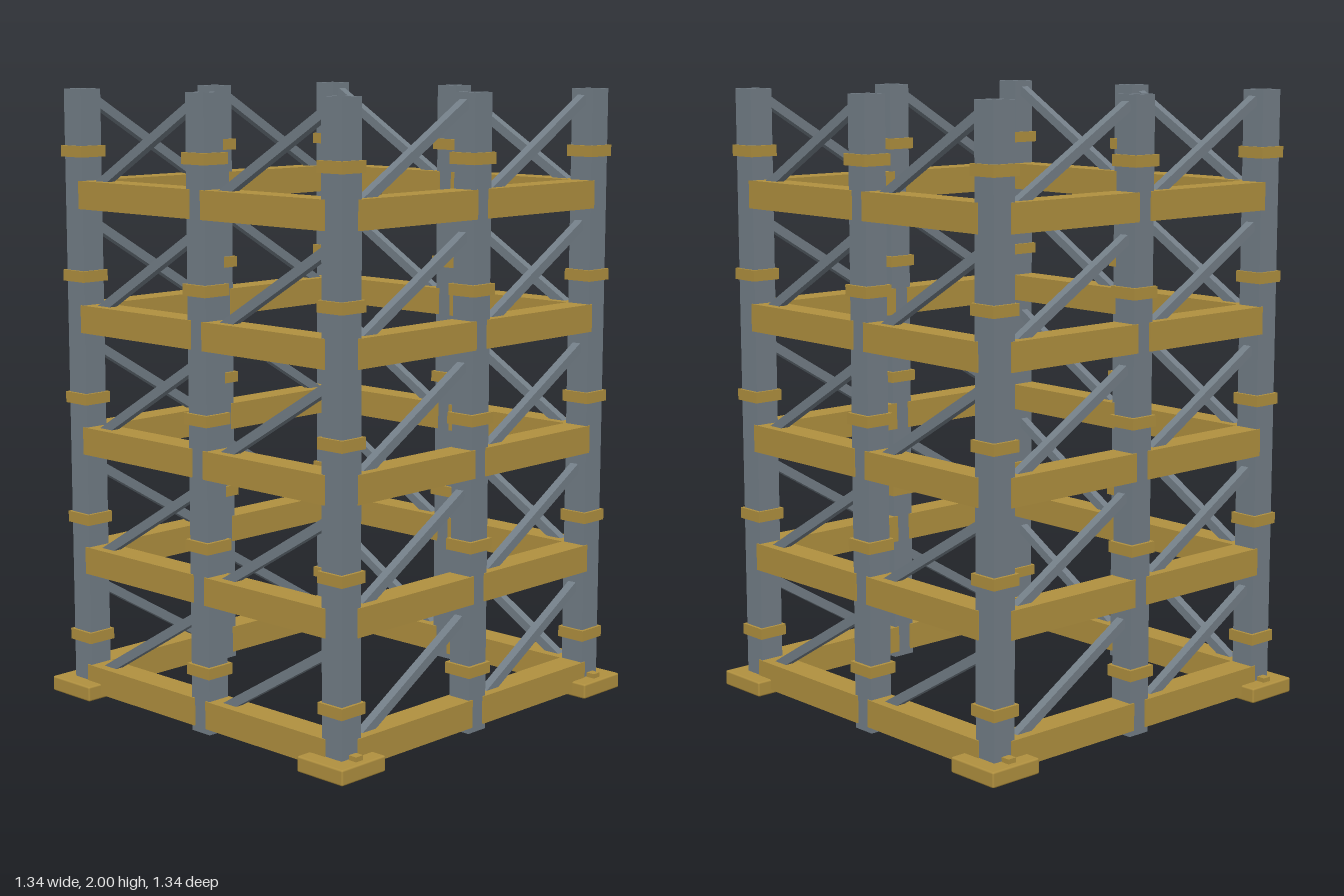
import * as THREE from 'three';
import { RoundedBoxGeometry } from 'three/addons/geometries/RoundedBoxGeometry.js';

const R = 0.575; // distance of each wall's centre line from the middle
const LEVELS = [0, 1, 2, 3, 4].map((i) => i * 0.4);

const steel = new THREE.MeshStandardMaterial({ color: 0x737e87 });
steel.name = 'steel grey';
const ochre = new THREE.MeshStandardMaterial({ color: 0xb0903f });
ochre.name = 'ochre';

function add(parent, name, geometry, material, x = 0, y = 0, z = 0) {
  const mesh = new THREE.Mesh(geometry, material);
  mesh.name = name;
  mesh.position.set(x, y, z);
  parent.add(mesh);
  return mesh;
}

function square(Type, h) {
  const p = new Type();
  p.moveTo(-h, -h).lineTo(h, -h).lineTo(h, h).lineTo(-h, h).closePath();
  return p;
}

// Square hollow section standing on y = 0
function squareTube(outer, inner, height) {
  const shape = square(THREE.Shape, outer / 2);
  shape.holes.push(square(THREE.Path, inner / 2));
  const g = new THREE.ExtrudeGeometry(shape, { depth: height, bevelEnabled: false });
  return g.rotateX(-Math.PI / 2);
}

export function createModel() {
  const tower = new THREE.Group();
  tower.name = 'scaffoldTower';

  const cornerPost = squareTube(0.082, 0.06, 1.945);
  const middlePost = squareTube(0.08, 0.06, 2);
  const collar = squareTube(0.101, 0.078, 0.036);
  const beam = new THREE.BoxGeometry(0.523, 0.09, 0.09);
  const brace = new THREE.BoxGeometry(0.58, 0.03, 0.03);
  const footPlate = new RoundedBoxGeometry(0.188, 0.05, 0.188, 2, 0.006);
  const footPad = new THREE.BoxGeometry(0.1, 0.01, 0.1);
  const lug = new THREE.BoxGeometry(0.03, 0.016, 0.03);
  const flange = new THREE.BoxGeometry(0.046, 1.9, 0.012);
  const web = new THREE.BoxGeometry(0.012, 1.9, 0.034);
  const coreLong = new THREE.BoxGeometry(0.05, 1.9, 0.022);
  const coreShort = new THREE.BoxGeometry(0.022, 1.9, 0.028);

  // Four identical walls, each turned a quarter
  for (let side = 0; side < 4; side++) {
    const wall = new THREE.Group();
    wall.name = 'wall';
    wall.rotation.y = (side * Math.PI) / 2;
    tower.add(wall);

    // Posts with their inner cores
    add(wall, 'cornerPost', cornerPost, steel, R, 0.055, R);
    add(wall, 'cornerCore', coreLong, steel, R, 1.02, R - 0.014);
    add(wall, 'cornerCore', coreShort, steel, R - 0.014, 1.02, R + 0.011);
    add(wall, 'middlePost', middlePost, steel, 0, 0, R);
    const core = new THREE.Group();
    core.name = 'middleCore';
    core.position.set(0, 1.02, R);
    core.rotation.y = -wall.rotation.y;
    wall.add(core);
    add(core, 'coreWeb', web, steel);
    for (const s of [-1, 1]) add(core, 'coreFlange', flange, steel, 0, 0, s * 0.023);

    for (const y of LEVELS) {
      // Clamping collars
      add(wall, 'cornerCollar', collar, ochre, R, y + 0.184, R);
      add(wall, 'middleCollar', collar, ochre, 0, y + 0.184, R);
      // One beam and one rising brace per bay
      for (const s of [-1, 1]) {
        add(wall, 'beam', beam, ochre, s * 0.2875, y + 0.064, R);
        const b = add(wall, 'diagonalBrace', brace, steel, s * 0.2875, y + 0.218, R);
        b.rotation.z = Math.atan(0.6);
      }
    }
  }

  // Feet under the corner posts
  for (const sx of [-1, 1]) {
    for (const sz of [-1, 1]) {
      add(tower, 'footPlate', footPlate, ochre, sx * 0.577, 0.03, sz * 0.577);
      add(tower, 'footPad', footPad, ochre, sx * 0.577, 0.005, sz * 0.577);
      add(tower, 'footLug', lug, ochre, sx * 0.635, 0.062, sz * R);
    }
  }
  return tower;
}
